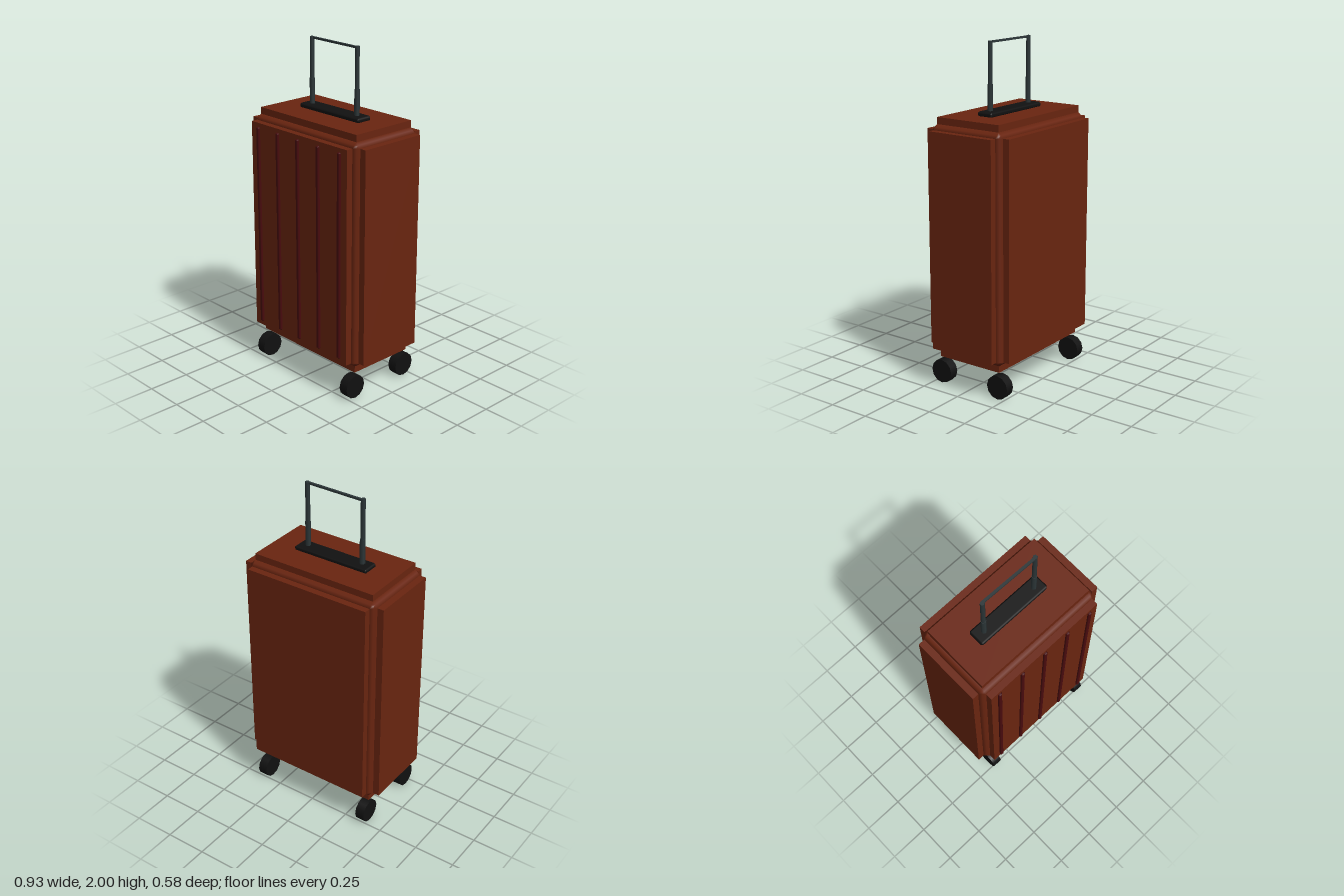
import * as THREE from 'three';

const mat = (name, color) => {
  const m = new THREE.MeshStandardMaterial({ color });
  m.name = name;
  return m;
};

// Box with a single softly shaded chamfer along every edge
function chamferBox(w, h, d, bevel) {
  const geo = new THREE.BoxGeometry(1, 1, 1, 3, 3, 3);
  const half = [w / 2, h / 2, d / 2];
  const pos = geo.attributes.position, nor = geo.attributes.normal;
  const n = new THREE.Vector3();
  for (let i = 0; i < pos.count; i++) {
    const p = [pos.getX(i), pos.getY(i), pos.getZ(i)];
    const outer = p.map((c) => (Math.abs(c) > 0.4 ? 1 : 0));
    const count = outer[0] + outer[1] + outer[2];
    const q = p.map((c, a) => Math.sign(c) * (half[a] - bevel + (outer[a] * bevel) / count));
    pos.setXYZ(i, ...q);
    n.set(...p.map((c, a) => Math.sign(c) * outer[a])).normalize();
    nor.setXYZ(i, n.x, n.y, n.z);
  }
  return geo;
}

export function createModel() {
  const model = new THREE.Group();
  model.name = 'suitcase';
  const shell = mat('russet shell', 0x6a2510);
  const ribMat = mat('dark red rib', 0x480b0d);
  const black = mat('black plastic', 0x111111);
  const metal = mat('slate metal', 0x2c3638);

  const add = (name, geo, material, x, y, z) => {
    const mesh = new THREE.Mesh(geo, material);
    mesh.name = name;
    mesh.position.set(x, y, z);
    model.add(mesh);
    return mesh;
  };

  // Chamfered core with a raised panel on each of the six sides
  const cy = 0.875, cz = -0.0075;
  const W = 0.85, H = 1.34, D = 0.485, bevel = 0.03, raise = 0.04;
  add('bodyCore', chamferBox(W, H, D, bevel), shell, 0, cy, cz);
  const flat = [W - 2 * bevel, H - 2 * bevel, D - 2 * bevel];
  const full = [W + 2 * raise, H + 2 * raise, D + 2 * raise];
  ['sidePanels', 'topAndBottomPanels', 'frontAndBackPanels'].forEach((name, axis) => {
    const size = flat.map((s, a) => (a === axis ? full[a] : s));
    add(name, new THREE.BoxGeometry(...size), shell, 0, cy, cz);
  });

  // Vertical ribs on the front
  for (let i = -2; i <= 2; i++) {
    add('frontRib', chamferBox(0.026, 1.23, 0.026, 0.008), ribMat, i * 0.168, 0.877, 0.275);
  }

  // Handle base plate
  add('handleBase', chamferBox(0.488, 0.03, 0.104, 0.011), black, 0, 1.596, -0.0085);

  // Telescopic handle: sleeves, posts and a thin grip bar
  for (const s of [-1, 1]) {
    add('handleSleeve', new THREE.CylinderGeometry(0.016, 0.016, 0.16, 6), metal, s * 0.183, 1.68, -0.006);
    add('handlePost', new THREE.CylinderGeometry(0.0135, 0.0135, 0.4, 6), metal, s * 0.183, 1.8, -0.006);
  }
  const bar = add('handleBar', new THREE.BoxGeometry(0.37, 0.011, 0.015), metal, 0, 1.9935, -0.007);
  bar.rotation.y = -0.02;

  // Four wheels
  const wheelGeo = new THREE.CylinderGeometry(0.071, 0.071, 0.058, 12);
  wheelGeo.rotateZ(Math.PI / 2);
  for (const x of [-0.367, 0.367]) {
    for (const z of [0.2, -0.205]) add('wheel', wheelGeo, black, x, 0.071, z);
  }

  return model;
}
